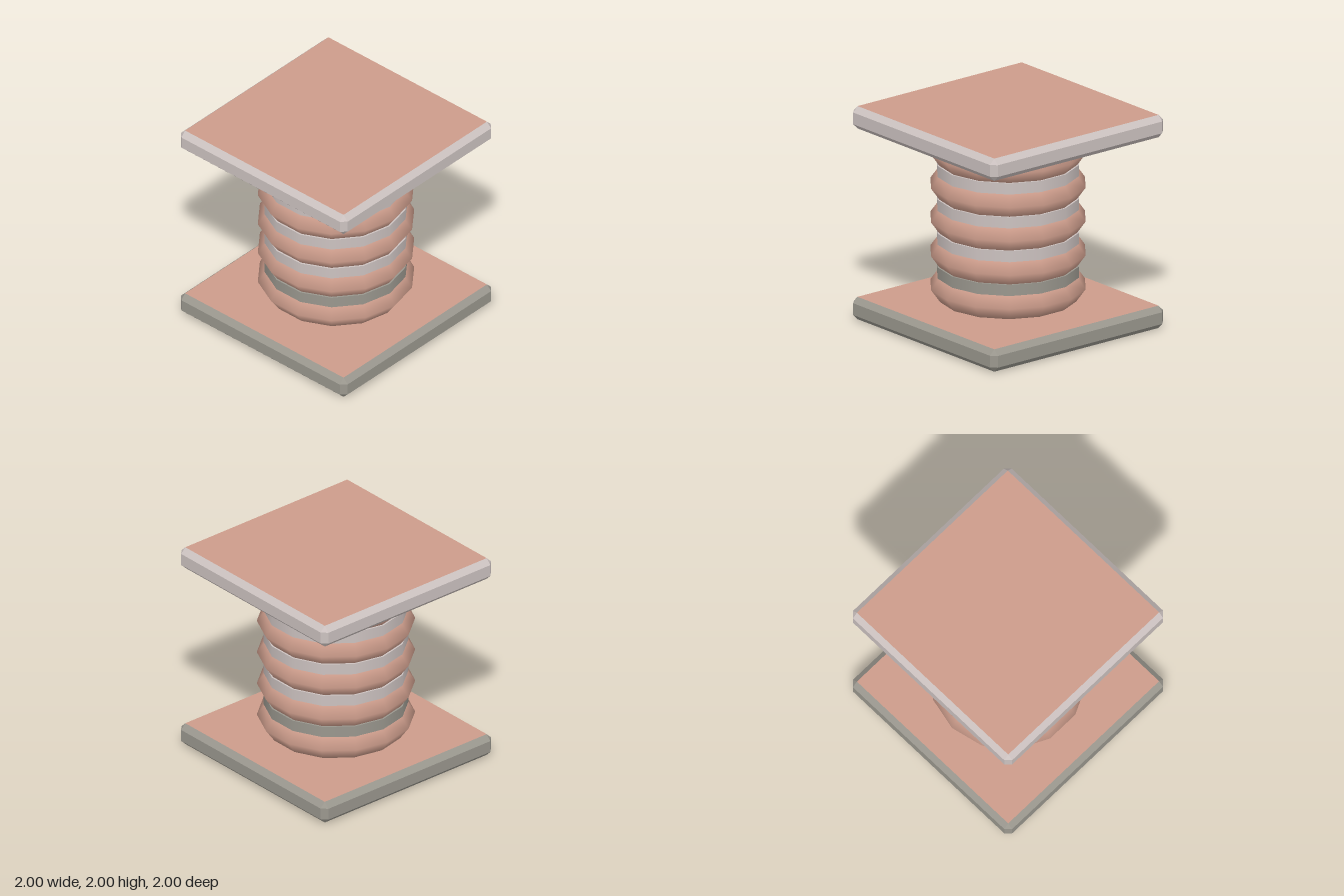
import * as THREE from 'three';
import { ConvexGeometry } from 'three/addons/geometries/ConvexGeometry.js';

const SIDES = 14;

export function createModel() {
  const model = new THREE.Group();
  model.name = 'coilBlock';

  const material = (name, color) => {
    const m = new THREE.MeshStandardMaterial({ color });
    m.name = name;
    return m;
  };
  const clay = material('clay', 0xcc9c8b);
  const lightGrey = material('lightGrey', 0xccc2c0);
  const darkGrey = material('darkGrey', 0x9a978e);

  function add(name, geometry, mat, y = 0) {
    const mesh = new THREE.Mesh(geometry, mat);
    mesh.name = name;
    mesh.position.y = y;
    model.add(mesh);
    return mesh;
  }

  // Lathe with a corner of the polygon on the x axis
  function lathe(points) {
    const profile = points.map(([r, y]) => new THREE.Vector2(r, y));
    return new THREE.LatheGeometry(profile, SIDES, Math.PI / 2);
  }

  // Square slab with every edge chamfered; flat faces up and down take the second material
  function chamferedSlab(half, halfHeight, c) {
    const points = [];
    for (const sx of [-1, 1]) for (const sy of [-1, 1]) for (const sz of [-1, 1]) {
      const a = half - c, h = halfHeight - c;
      points.push(
        new THREE.Vector3(sx * half, sy * h, sz * a),
        new THREE.Vector3(sx * a, sy * halfHeight, sz * a),
        new THREE.Vector3(sx * a, sy * h, sz * half));
    }
    const geometry = new ConvexGeometry(points);
    const normal = geometry.attributes.normal;
    for (let i = 0; i < normal.count; i += 3) {
      geometry.addGroup(i, 3, Math.abs(normal.getY(i)) > 0.95 ? 1 : 0);
    }
    return geometry;
  }

  // End plates
  const slab = chamferedSlab(1, 0.105, 0.05);
  add('basePlate', slab, [darkGrey, clay], 0.105);
  add('topPlate', slab, [lightGrey, clay], 1.895);

  // Stacked rings with a hexagonal section
  const ring = lathe([
    [0.365, 0], [0.45, -0.12], [0.62, -0.12], [0.705, 0],
    [0.62, 0.12], [0.45, 0.12], [0.365, 0],
  ]);
  const pitch = 0.3175;
  for (let i = 0; i < 5; i++) add('ring' + (i + 1), ring, clay, 0.37 + i * pitch);

  // Spacer discs between the rings
  const disc = new THREE.CylinderGeometry(0.645, 0.645, 0.104, SIDES, 1, false, Math.PI / 2);
  for (let i = 0; i < 4; i++) {
    add('spacer' + (i + 1), disc, i === 0 ? darkGrey : lightGrey, 0.527 + i * pitch);
  }

  // Flared socket under the stack, and its small front tab
  add('lowerSocket', lathe([[0.25, 0.2], [0.29, 0.25], [0.37, 0.33], [0.37, 0.48]]), darkGrey);
  const tab = add('socketTab', new THREE.BoxGeometry(0.14, 0.05, 0.04), clay, 0.255);
  tab.position.z = 0.28;

  // Tapered stem under the top plate
  add('upperStem', lathe([[0.36, 1.6], [0.23, 1.71], [0.14, 1.76], [0.08, 1.8]]), lightGrey);

  return model;
}
